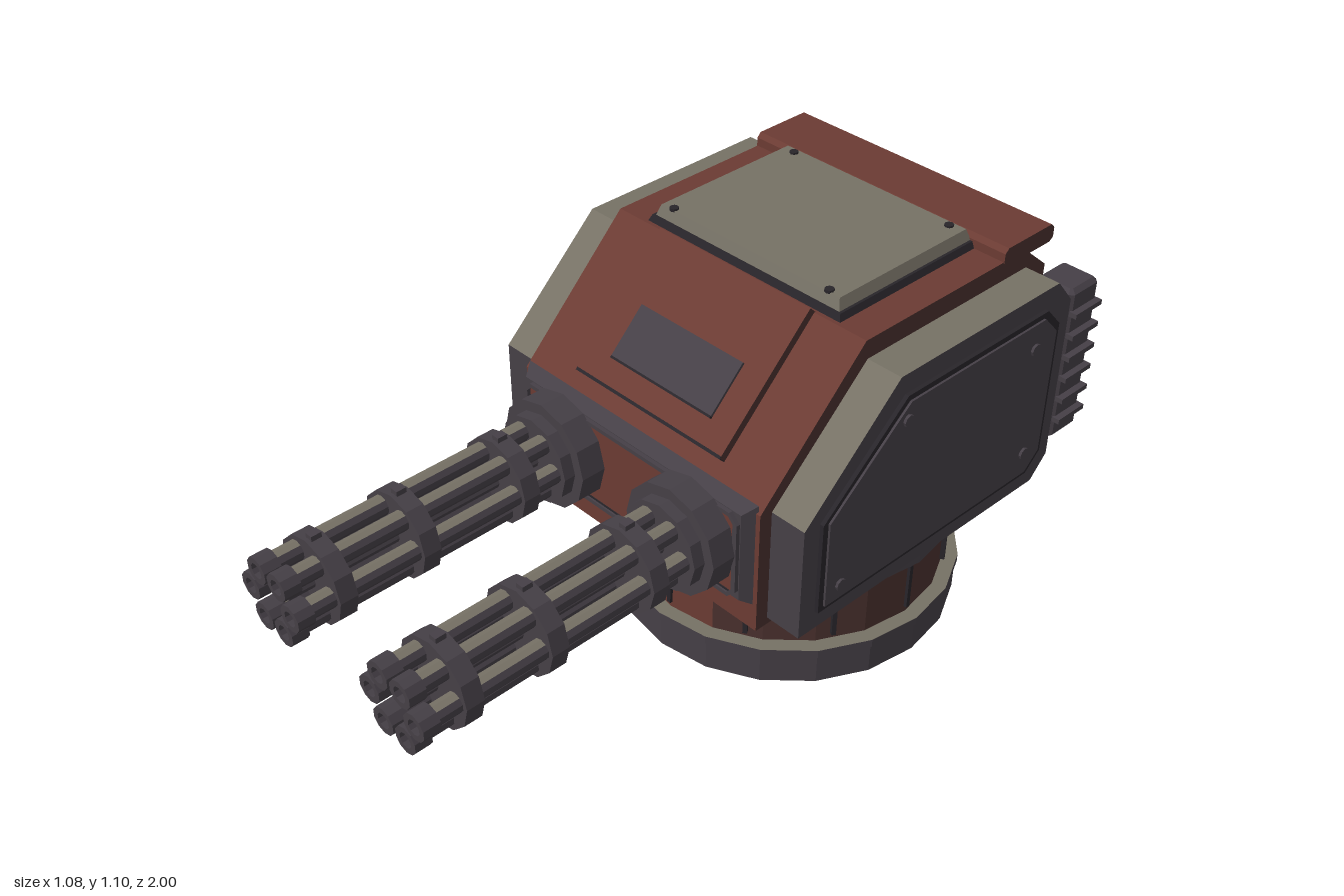
import * as THREE from 'three';

const mat = (name, color) => { const m = new THREE.MeshStandardMaterial({ color }); m.name = name; return m; };

export function createModel() {
  const red = mat('rust red', 0x6b3b33);
  const brown = mat('dark rust', 0x4a312e);
  const dark = mat('gunmetal', 0x453f46);
  const beige = mat('worn beige', 0x767165);
  const black = mat('dark trim', 0x28252a);
  const root = new THREE.Group();
  root.name = 'turret';

  // Faceted normals for every part
  const flat = (g) => {
    const f = g.index ? g.toNonIndexed() : g;
    f.computeVertexNormals();
    return f;
  };
  const add = (parent, name, geo, material, x = 0, y = 0, z = 0) => {
    const m = new THREE.Mesh(flat(geo), material);
    m.name = name;
    m.position.set(x, y, z);
    parent.add(m);
    return m;
  };
  const group = (name, parent = root) => {
    const g = new THREE.Group();
    g.name = name;
    parent.add(g);
    return g;
  };
  const box = (w, h, d) => new THREE.BoxGeometry(w, h, d);
  const cyl = (r, h, n) => new THREE.CylinderGeometry(r, r, h, n);
  const cylZ = (r, h, n) => cyl(r, h, n).rotateX(Math.PI / 2);

  // Box whose +z face is inset, for bevelled plates
  const bevelBox = (w, h, d, inset) => {
    const g = box(w, h, d), p = g.attributes.position;
    for (let i = 0; i < p.count; i++) if (p.getZ(i) > 0) {
      p.setX(i, p.getX(i) - Math.sign(p.getX(i)) * inset);
      p.setY(i, p.getY(i) - Math.sign(p.getY(i)) * inset);
    }
    return g;
  };

  // Side profile of [z, y] points, extruded along x from x0 to x1
  const prism = (pts, x0, x1) => {
    const s = new THREE.Shape(pts.map(([z, y]) => new THREE.Vector2(-z, y)));
    return new THREE.ExtrudeGeometry(s, { depth: x1 - x0, bevelEnabled: false })
      .rotateY(Math.PI / 2).translate(x0, 0, 0);
  };
  // Mesh whose faces take the second material where test(normal) holds
  const up = (n) => n.y > 0.6;
  const upOrFront = (n) => n.y > 0.5 || n.z > 0.5;
  const frontQuarter = (n) => Math.abs(n.y) < 0.5 && n.z > 0 && n.x < 0.2;
  const addSplit = (parent, name, geo, mats, test, x = 0, y = 0, z = 0) => {
    const g = flat(geo), n = new THREE.Vector3();
    g.clearGroups();
    for (let i = 0; i < g.attributes.normal.count; i += 3)
      g.addGroup(i, 3, test(n.fromBufferAttribute(g.attributes.normal, i)) ? 1 : 0);
    return add(parent, name, g, mats, x, y, z);
  };
  const shrink = (pts, k, c = [-0.395, 0.7]) => pts.map(([z, y]) => [c[0] + (z - c[0]) * k[0], c[1] + (y - c[1]) * k[1]]);

  // Round base with ribs
  const base = group('base');
  base.position.z = -0.445;
  const disc = (name, r, y0, y1, mats, test = up) =>
    addSplit(base, name, cyl(r, y1 - y0, 20), mats, test, 0, (y0 + y1) / 2, 0);
  disc('baseFoot', 0.467, 0, 0.09, [dark, beige]);
  disc('baseFootRim', 0.473, 0.088, 0.112, [dark, beige]);
  disc('baseDrum', 0.433, 0.11, 0.3, [brown, red], frontQuarter);
  disc('baseTopRing', 0.462, 0.296, 0.332, [dark, beige]);
  disc('baseTopDisc', 0.37, 0.32, 0.335, [brown, red]);
  for (let i = 0; i < 12; i++) {
    const a = i * Math.PI / 6;
    add(base, 'baseRib', box(0.012, 0.14, 0.02), black, Math.sin(a) * 0.431, 0.2, Math.cos(a) * 0.431).rotation.y = a;
  }

  // Main hull
  const hull = group('hull');
  const hullProfile = [[0.1, 0.37], [0.1, 0.72], [-0.225, 1.045], [-0.8, 1.045], [-0.89, 0.97], [-0.89, 0.46], [-0.825, 0.37]];
  addSplit(hull, 'hullBody', prism(hullProfile, -0.41, 0.41), [brown, red], upOrFront);
  const trim = [[-0.715, 1.042], [-0.715, 1.068], [-0.727, 1.08], [-0.893, 1.08], [-0.905, 1.068], [-0.905, 1.042], [-0.893, 1.032], [-0.727, 1.032]];
  addSplit(hull, 'rearRoofTrim', prism(trim, -0.412, 0.412), [brown, red], upOrFront);

  // Roof hatch
  add(hull, 'roofHatchFrame', bevelBox(0.64, 0.495, 0.018, 0.008).rotateX(-Math.PI / 2), black, 0, 1.053, -0.483);
  add(hull, 'roofHatch', bevelBox(0.61, 0.47, 0.03, 0.01).rotateX(-Math.PI / 2), beige, 0, 1.076, -0.483);
  for (const x of [-0.257, 0.257]) for (const z of [-0.69, -0.265])
    add(hull, 'roofBolt', cyl(0.012, 0.008, 8), black, x, 1.092, z);

  // Sloped front plate with vision slot
  const slope = group('frontSlope', hull);
  slope.position.set(0, 0.9, -0.08);
  slope.rotation.x = -Math.PI / 4;
  addSplit(slope, 'slopePlate', box(0.5, 0.4, 0.024), [brown, red], upOrFront, 0, 0.008, 0.01);
  add(slope, 'slopeLowerEdge', box(0.5, 0.008, 0.026), black, 0, -0.19, 0.01);
  add(slope, 'visionSlot', box(0.344, 0.145, 0.008), dark, 0, -0.048, 0.025);
  add(slope, 'visionSlotEdge', box(0.344, 0.006, 0.009), black, 0, -0.122, 0.025);

  // Bevelled gun frame on the nose
  const octagon = (w, h, c) => [[-w, -h + c], [-w + c, -h], [w - c, -h], [w, -h + c], [w, h - c], [w - c, h], [-w + c, h], [-w, h - c]]
    .map(([x, y]) => new THREE.Vector2(x, y));
  const frame = new THREE.Shape(octagon(0.375, 0.125, 0.025));
  frame.holes.push(new THREE.Path(octagon(0.362, 0.114, 0.015).reverse()));
  add(hull, 'gunFrame', new THREE.ExtrudeGeometry(frame, { depth: 0.02, bevelEnabled: false }), dark, 0, 0.592, 0.12);
  add(hull, 'gunFrameSkirt', bevelBox(0.8, 0.298, 0.034, 0.022), dark, 0, 0.592, 0.112);
  add(hull, 'gunPanel', box(0.715, 0.225, 0.006), red, 0, 0.594, 0.13);
  add(hull, 'gunPanelLowerEdge', box(0.715, 0.01, 0.008), black, 0, 0.478, 0.131);

  // Side armour, mirrored by building from both x signs
  const plate = [[0.07, 0.4], [0.07, 0.72], [-0.225, 1], [-0.8, 1], [-0.86, 0.93], [-0.86, 0.46], [-0.805, 0.4]];
  const both = (s, a, b) => (s > 0 ? [a, b] : [-b, -a]);
  for (const s of [1, -1]) {
    const side = group(s > 0 ? 'leftSide' : 'rightSide');
    add(side, 'armourMount', prism(shrink(plate, [0.88, 0.76]), ...both(s, 0.4, 0.43)), brown);
    addSplit(side, 'sideArmour', prism(plate, ...both(s, 0.417, 0.518)), [dark, beige], up);
    add(side, 'armourPanelFrame', prism(shrink(plate, [0.89, 0.82]), ...both(s, 0.515, 0.529)), black);
    add(side, 'armourPanel', prism(shrink(plate, [0.855, 0.77]), ...both(s, 0.52, 0.535)), dark);
    for (const [z, y] of [[-0.24, 0.885], [-0.71, 0.86], [-0.725, 0.54], [-0.045, 0.512]])
      add(side, 'armourBolt', cyl(0.016, 0.016, 8).rotateZ(Math.PI / 2), dark, s * 0.534, y, z);

    // Rear vent box with fins
    const vent = group('rearVent', side);
    vent.position.set(s * 0.448, 0.705, -0.943);
    const ventGeo = new THREE.ExtrudeGeometry(new THREE.Shape(octagon(0.057, 0.057, 0.012)),
      { depth: 0.426, bevelSegments: 1, bevelSize: 0.012, bevelOffset: -0.012, bevelThickness: 0.012 })
      .translate(0, 0, -0.213).rotateX(-Math.PI / 2);
    add(vent, 'ventBox', ventGeo, dark);
    for (let i = 0; i < 6; i++)
      add(vent, 'ventFin', box(0.022, 0.014, 0.105), dark, s * 0.064, -0.16 + i * 0.064, 0);
  }

  // Twin rotary guns
  const barrelProfile = [[0, 0.18], [0.026, 0.18], [0.026, 0.955]].map((p) => new THREE.Vector2(...p));
  const muzzleProfile = [[0, 0.955], [0.036, 0.955], [0.036, 1], [0.02, 1], [0.02, 0.975]].map((p) => new THREE.Vector2(...p));
  for (const s of [1, -1]) {
    const gun = group(s > 0 ? 'leftGun' : 'rightGun');
    gun.position.set(s * 0.225, 0.602, 0);
    add(gun, 'gunMount', cylZ(0.147, 0.07, 12), dark, 0, 0, 0.172);
    add(gun, 'gunCollar', cylZ(0.118, 0.034, 12), dark, 0, 0, 0.222);
    add(gun, 'spindle', cylZ(0.018, 0.76, 8), dark, 0, 0, 0.58);
    for (let i = 0; i < 6; i++) {
      const a = i * Math.PI / 3, x = Math.cos(a) * 0.077, y = Math.sin(a) * 0.077;
      addSplit(gun, 'barrel', new THREE.LatheGeometry(barrelProfile, 10).rotateX(Math.PI / 2), [dark, beige], up, x, y, 0);
      add(gun, 'muzzle', new THREE.LatheGeometry(muzzleProfile, 10).rotateX(Math.PI / 2), dark, x, y, 0);
      add(gun, 'muzzleBore', cylZ(0.021, 0.006, 10), dark, x, y, 0.975);
    }
    // Barrel clamps with lugs above and below
    for (const z of [0.337, 0.634, 0.867]) {
      add(gun, 'barrelClamp', cylZ(0.115, 0.048, 12), dark, 0, 0, z);
      for (const t of [1, -1]) add(gun, 'clampLug', box(0.022, 0.022, 0.028), dark, 0, t * 0.115, z);
    }
  }
  return root;
}
